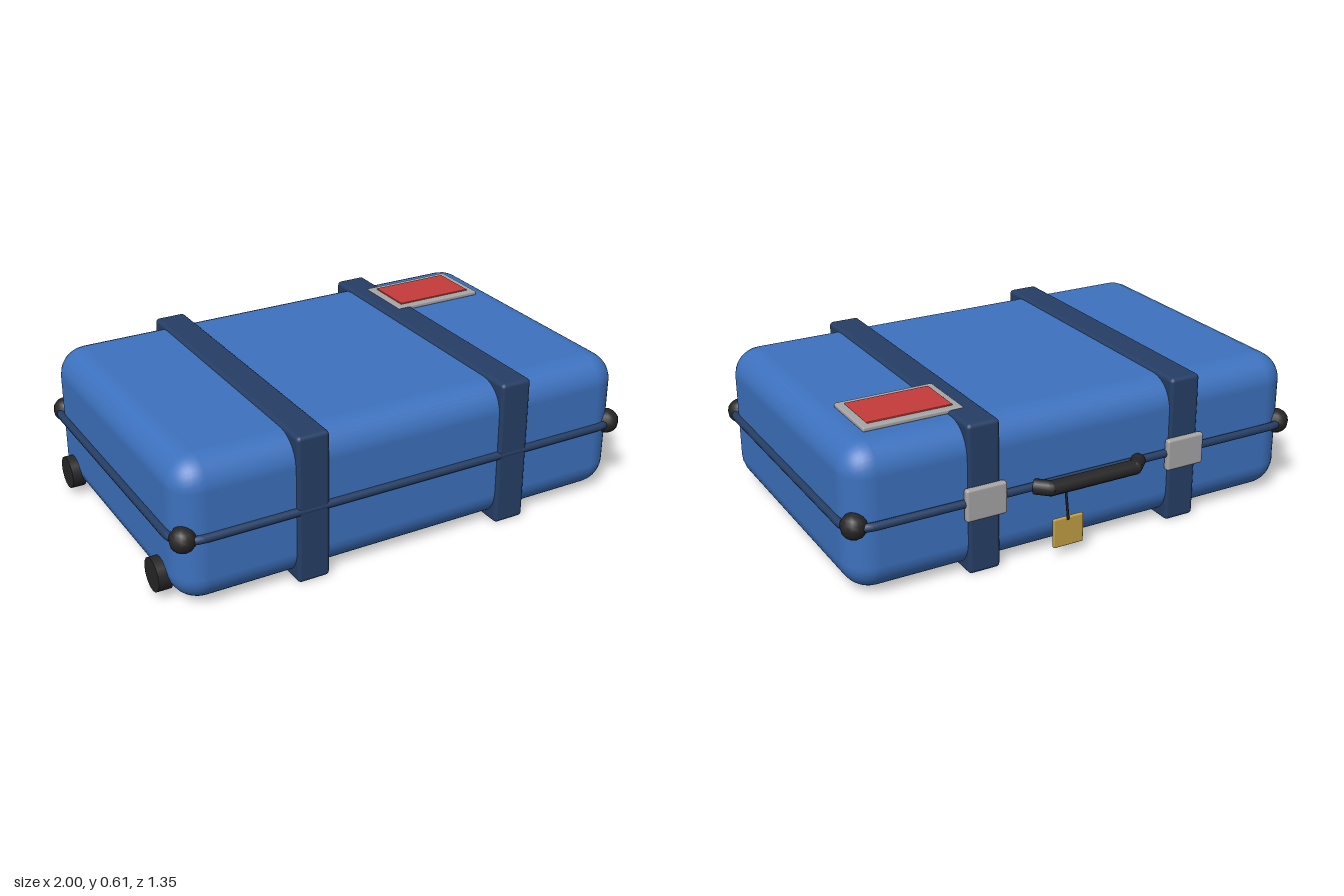
import * as THREE from 'three';
import { RoundedBoxGeometry } from 'three/addons/geometries/RoundedBoxGeometry.js';

const mat = (color) => new THREE.MeshStandardMaterial({ color });
const blue = mat(0x3d72bf), navy = mat(0x263f66), black = mat(0x262626);
const metal = mat(0xa6a6a6), red = mat(0xc63a3a), brass = mat(0xc2a045);

export function createModel() {
  const suitcase = new THREE.Group();
  suitcase.name = 'suitcase';
  const add = (name, geometry, material, x = 0, y = 0, z = 0) => {
    const mesh = new THREE.Mesh(geometry, material);
    mesh.name = name;
    mesh.position.set(x, y, z);
    suitcase.add(mesh);
    return mesh;
  };
  const box = (name, material, [w, h, d], [x, y, z], r, seg = 2) =>
    add(name, new RoundedBoxGeometry(w, h, d, seg, r), material, x, y, z);

  const CX = 0.004, CY = 0.307, CZ = 0.03;

  // Shell
  box('shell', blue, [1.938, 0.58, 1.242], [CX, CY, CZ], 0.115, 4);

  // Straps with their latches on the back
  for (const side of [-1, 1]) {
    const x = CX + side * 0.441;
    box('strap', navy, [0.132, 0.604, 1.266], [x, CY, 0.032], 0.016);
    box('latch', metal, [0.168, 0.13, 0.03], [x, 0.3, -0.608], 0.01);
  }

  // Seam rail: a tube following a rounded rectangle around the shell
  const hx = 0.976, hz = 0.625, r = 0.1;
  const outline = new THREE.Shape();
  outline.moveTo(hx, -hz + r);
  outline.absarc(hx - r, hz - r, r, 0, Math.PI / 2);
  outline.absarc(-hx + r, hz - r, r, Math.PI / 2, Math.PI);
  outline.absarc(-hx + r, -hz + r, r, Math.PI, Math.PI * 1.5);
  outline.absarc(hx - r, -hz + r, r, Math.PI * 1.5, Math.PI * 2);
  const railPath = new THREE.CurvePath();
  const pts = outline.getPoints(6).map((p) => new THREE.Vector3(p.x, 0, p.y));
  for (let i = 0; i < pts.length - 1; i++) {
    if (pts[i].distanceTo(pts[i + 1]) > 1e-5) railPath.add(new THREE.LineCurve3(pts[i], pts[i + 1]));
  }
  add('seamRail', new THREE.TubeGeometry(railPath, 280, 0.017, 8, true), navy, CX, 0.305, 0.026);

  // Corner guards
  for (const sx of [-1, 1]) for (const sz of [-1, 1]) {
    add('cornerGuard', new THREE.SphereGeometry(0.051, 12, 8), black, CX + sx * 0.94, 0.305, CZ + sz * 0.59);
  }

  // Carrying handle: a bent bar with closed ends
  const corners = [[-0.232, -0.6], [-0.186, -0.645], [0.186, -0.645], [0.232, -0.6]]
    .map(([x, z]) => new THREE.Vector3(x + CX, 0.305, z));
  const up = new THREE.Vector3(0, 1, 0);
  for (let i = 0; i < 3; i++) {
    const dir = corners[i + 1].clone().sub(corners[i]);
    const mid = corners[i].clone().addScaledVector(dir, 0.5);
    const bar = add('handle', new THREE.CylinderGeometry(0.03, 0.03, dir.length(), 10), black, mid.x, mid.y, mid.z);
    bar.quaternion.setFromUnitVectors(up, dir.normalize());
  }
  for (const i of [1, 2]) {
    add('handleBend', new THREE.SphereGeometry(0.03, 10, 8), black, corners[i].x, corners[i].y, corners[i].z);
  }

  // Luggage tag on its cord
  const cord = add('tagCord', new THREE.CylinderGeometry(0.005, 0.005, 0.15, 6), black, 0.12, 0.23, -0.644);
  cord.rotation.z = -0.1;
  box('luggageTag', brass, [0.13, 0.12, 0.016], [0.108, 0.105, -0.635], 0.005);

  // Framed label on the lid
  box('labelFrame', metal, [0.4, 0.018, 0.264], [0.645, 0.605, -0.314], 0.006);
  box('label', red, [0.34, 0.014, 0.204], [0.645, 0.612, -0.314], 0.003);

  // Wheels on the right end
  for (const z of [-0.415, 0.465]) {
    const wheel = add('wheel', new THREE.CylinderGeometry(0.067, 0.067, 0.056, 16), black, -0.972, 0.093, z);
    wheel.rotation.z = Math.PI / 2;
  }
  return suitcase;
}
